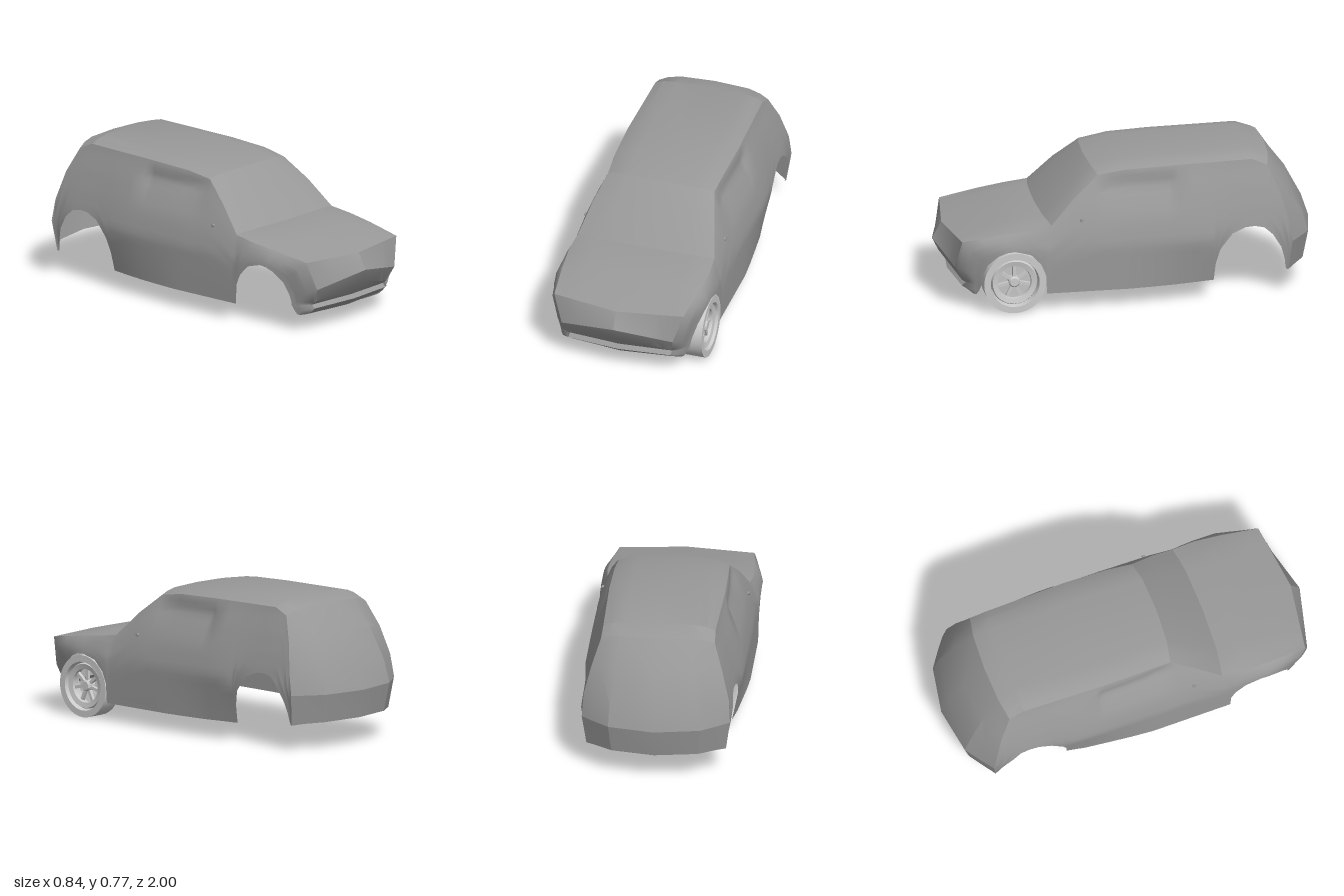
import * as THREE from 'three';
import { toCreasedNormals } from 'three/addons/utils/BufferGeometryUtils.js';

const bodyPaint = new THREE.MeshStandardMaterial({ color: 0x999999, side: THREE.DoubleSide });
const wheelGrey = new THREE.MeshStandardMaterial({ color: 0xcccccc, side: THREE.DoubleSide });

// Rows over the car from front bumper to rear bumper:
// centre z, centre y, then the edge x, z, y
const rows = [
  [0.87, 0.083, 0.265, 0.84, 0.083], // bumper bottom
  [0.92, 0.125, 0.28, 0.89, 0.122],
  [0.90, 0.145, 0.28, 0.87, 0.14],
  [0.965, 0.225, 0.285, 0.89, 0.155],
  [1.00, 0.295, 0.305, 0.93, 0.235], // nose
  [0.95, 0.38, 0.355, 0.90, 0.387], // bonnet front
  [0.70, 0.44, 0.375, 0.70, 0.42],
  [0.57, 0.465, 0.385, 0.55, 0.44],
  [0.46, 0.47, 0.375, 0.43, 0.458], // windscreen base
  [0.33, 0.60, 0.335, 0.30, 0.59],
  [0.20, 0.72, 0.292, 0.17, 0.695], // windscreen top
  [0.03, 0.75, 0.30, 0.03, 0.718],
  [-0.20, 0.757, 0.305, -0.20, 0.728],
  [-0.65, 0.767, 0.295, -0.65, 0.735],
  [-0.76, 0.735, 0.30, -0.73, 0.70], // tailgate top
  [-0.87, 0.59, 0.344, -0.79, 0.57],
  [-0.96, 0.42, 0.382, -0.83, 0.42],
  [-1.00, 0.30, 0.39, -0.85, 0.30],
  [-0.97, 0.15, 0.367, -0.83, 0.136], // rear bumper bottom
];

// Side ribs: position along the rows, then z, y of the lower edge (with wheel arches)
const ribs = [
  [0, 0.82, 0.09], [1, 0.81, 0.11], [2, 0.80, 0.14], [3, 0.80, 0.165], [4, 0.795, 0.2], [5, 0.77, 0.265],
  [5.5, 0.715, 0.317], [6, 0.67, 0.336], [6.3, 0.63, 0.34], [7, 0.545, 0.317], [7.4, 0.49, 0.26],
  [7.7, 0.465, 0.2], [7.85, 0.46, 0.097], [8, 0.43, 0.097], [9, 0.30, 0.097], [9.8, 0.196, 0.097],
  [10, 0.17, 0.097], [10.5, 0.1, 0.097], [11, 0.03, 0.097], [11.5, -0.085, 0.097], [12, -0.20, 0.097],
  [12.06, -0.227, 0.097], [12.12, -0.254, 0.098], [12.3, -0.335, 0.1], [12.5, -0.435, 0.1],
  [12.55, -0.443, 0.2], [12.62, -0.465, 0.28], [12.75, -0.53, 0.365], [12.9, -0.60, 0.393],
  [13, -0.65, 0.396], [13.5, -0.70, 0.385], [14, -0.745, 0.345], [15, -0.79, 0.27], [16, -0.81, 0.2],
  [17, -0.815, 0.16], [18, -0.82, 0.137],
];

// Piecewise linear lookup, keys ascending
function lookup(table, k) {
  if (k <= table[0][0]) return table[0][1];
  for (let i = 1; i < table.length; i++) {
    const [a, va] = table[i - 1], [b, vb] = table[i];
    if (k <= b) return va + (vb - va) * (k - a) / (b - a);
  }
  return table[table.length - 1][1];
}

// Body half width by height, its narrowing along z, and how far the skirt tucks in
const halfWidth = [[0.1, 0.415], [0.34, 0.42], [0.42, 0.405], [0.5, 0.385], [0.6, 0.355], [0.7, 0.32], [0.735, 0.31]];
const taper = [[-0.85, 0.94], [-0.5, 0.965], [-0.35, 1], [0.68, 1], [0.8, 0.94], [0.95, 0.86]];
const tuck = [[-0.82, 0.15], [-0.74, 0.05], [-0.44, 0.19], [0, 0], [0.72, 0], [0.82, 0.2]];

function bodyX(y, z) {
  return lookup(halfWidth, y) * lookup(taper, z) - Math.max(0, 0.34 - y) * lookup(tuck, z);
}

// Hollow of the front side window
function windowDent(y, z) {
  const along = lookup([[-0.254, 0], [-0.227, 1], [0.1, 1], [0.2, 0]], z);
  const up = lookup([[0.48, 0], [0.56, 0.4], [0.65, 1], [0.69, 0]], y);
  return 0.025 * along * up;
}

// Surface from rows of points
function surface(points, name, crease) {
  const n = points[0].length, index = [];
  for (let u = 0; u < points.length - 1; u++) {
    for (let v = 0; v < n - 1; v++) {
      const a = u * n + v, b = a + n;
      index.push(a, a + 1, b, a + 1, b + 1, b);
    }
  }
  const geometry = new THREE.BufferGeometry();
  geometry.setAttribute('position', new THREE.Float32BufferAttribute(points.flat(2), 3));
  geometry.setIndex(index);
  const mesh = new THREE.Mesh(toCreasedNormals(geometry, crease), bodyPaint);
  mesh.name = name;
  return mesh;
}

function topShell() {
  const points = rows.map(([cz, cy, ex, ez, ey], i) => {
    const front = i < 6;
    const half = [[0.62, 0.28, 0.1], [0.85, 0.7, 0.42], [1, 1, 1]].map(([f, dz, dy]) =>
      [ex * f, cy + (ey - cy) * (front ? f : dy), cz + (ez - cz) * (front ? f : dz)]);
    return [...half.map(([x, y, z]) => [-x, y, z]).reverse(), [0, cy, cz], ...half];
  });
  return surface(points, 'bonnetRoofAndTailgate', 0.35);
}

function sidePanel(side) {
  const steps = 20;
  const points = ribs.map(([u, lz, ly]) => {
    const i = Math.min(Math.floor(u), rows.length - 2), f = u - i;
    const [ex, ez, ey] = [2, 3, 4].map((k) => rows[i][k] + (rows[i + 1][k] - rows[i][k]) * f);
    const fit = ex - bodyX(ey, ez);
    const rib = [];
    for (let s = 0; s <= steps; s++) {
      const t = s / steps, y = ly + (ey - ly) * t, z = lz + (ez - lz) * t;
      rib.push([side * (bodyX(y, z) + fit * t ** 3 - windowDent(y, z)), y, z]);
    }
    return side > 0 ? rib.reverse() : rib;
  });
  return surface(points, side > 0 ? 'leftSide' : 'rightSide', Math.PI);
}

// Ring turned about the x axis from [radius, x] points
function turned(profile, name) {
  const geometry = new THREE.LatheGeometry(profile.map(([r, x]) => new THREE.Vector2(r, x)), 32);
  geometry.rotateZ(-Math.PI / 2);
  const mesh = new THREE.Mesh(toCreasedNormals(geometry, 0.6), wheelGrey);
  mesh.name = name;
  return mesh;
}

function frontWheel() {
  const wheel = new THREE.Group();
  wheel.name = 'frontWheel';
  wheel.add(turned([[0.127, -0.053], [0.165, -0.053], [0.165, 0.053], [0.13, 0.053],
    [0.127, 0.04], [0.127, -0.053]], 'tyre'));
  wheel.add(turned([[0.122, -0.02], [0.122, 0.03], [0.117, 0.04], [0.09, 0.034], [0.087, 0.02],
    [0.1, -0.02], [0.122, -0.02]], 'rim'));
  wheel.add(turned([[0, -0.01], [0.03, -0.01], [0.03, 0.025], [0.022, 0.035], [0, 0.035]], 'hub'));
  for (let i = 0; i < 7; i++) {
    const spoke = new THREE.Mesh(new THREE.BoxGeometry(0.018, 0.075, 0.016), wheelGrey);
    const angle = i * Math.PI * 2 / 7;
    spoke.position.set(0.014, Math.cos(angle) * 0.06, Math.sin(angle) * 0.06);
    spoke.rotation.x = angle;
    spoke.name = 'spoke';
    wheel.add(spoke);
  }
  wheel.position.set(0.367, 0.165, 0.63);
  return wheel;
}

export function createModel() {
  const car = new THREE.Group();
  car.name = 'car';
  car.add(topShell(), frontWheel());
  for (const side of [1, -1]) {
    car.add(sidePanel(side));
    // Small mirror mount on the door
    const mount = new THREE.Mesh(new THREE.CylinderGeometry(0.009, 0.009, 0.03, 10), bodyPaint);
    mount.rotation.z = Math.PI / 2;
    mount.position.set(side * 0.374, 0.48, 0.27);
    mount.name = 'mirrorMount';
    car.add(mount);
  }
  return car;
}
